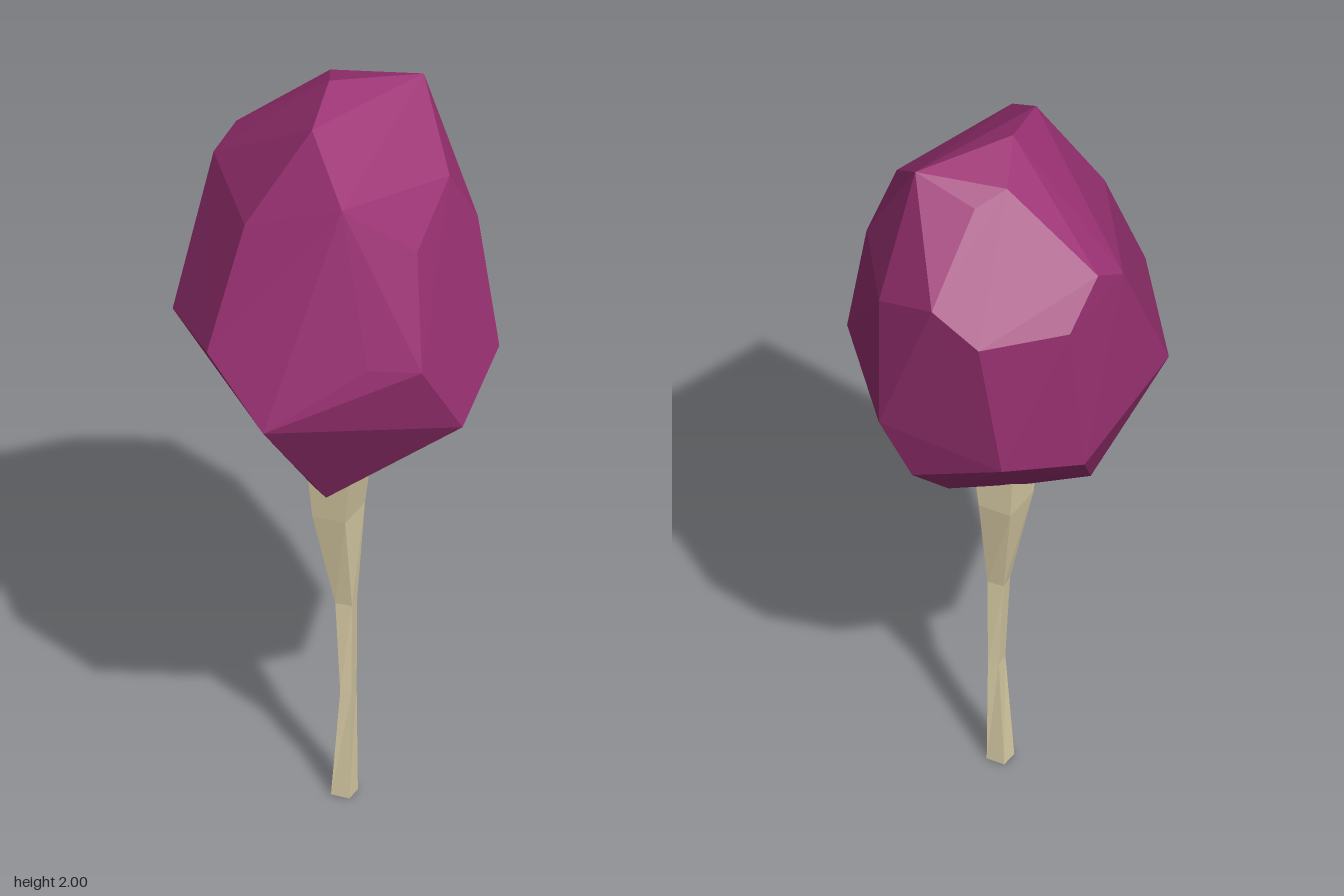
import * as THREE from 'three';
import { ConvexGeometry } from 'three/addons/geometries/ConvexGeometry.js';

// Corners of the faceted crown, from top to bottom
const CROWN = [
  [-0.035, 2.0, -0.04], [0, 1.96, 0.135], [0.13, 1.955, -0.24], [-0.095, 1.945, -0.175], [-0.04, 1.905, -0.24],
  [0.14, 1.83, 0.26], [0.28, 1.79, -0.07], [-0.34, 1.75, -0.15], [-0.36, 1.705, -0.06], [-0.135, 1.71, 0.24],
  [-0.02, 1.695, -0.42], [0.28, 1.67, 0.12], [0.32, 1.64, -0.15], [0.165, 1.62, -0.36],
  [-0.145, 1.61, -0.405], [-0.32, 1.63, -0.255],
  [-0.18, 1.4, 0.365], [0.22, 1.4, 0.28], [0.335, 1.385, 0.21], [-0.39, 1.34, 0.115], [0.39, 1.3, -0.125],
  [0, 1.24, 0.42], [0.165, 1.24, -0.36], [-0.18, 1.21, -0.35], [-0.33, 1.19, -0.2], [0.39, 1.18, 0.09],
  [0.09, 1.08, -0.325], [-0.25, 1.01, -0.03], [0.075, 0.94, -0.17], [0.05, 0.93, 0.16], [-0.04, 0.865, 0.03],
];

// Stem sections: height, centre x, centre z, half width x, half width z, twist
const STEM = [
  [0, 0.03, 0.01, 0.025, 0.025, 0],
  [0.3, 0.041, 0.01, 0.014, 0.02, 0.15],
  [0.55, 0.035, 0.01, 0.022, 0.02, 0.1],
  [0.81, 0.015, 0.012, 0.045, 0.058, 0],
  [0.95, 0.02, 0.018, 0.058, 0.066, 0],
];

function stemGeometry() {
  const n = STEM.length - 1;
  const geo = new THREE.CylinderGeometry(1, 1, n, 4, n);
  const pos = geo.attributes.position;
  for (let i = 0; i < pos.count; i++) {
    const [y, cx, cz, hx, hz, twist] = STEM[Math.round(pos.getY(i) + n / 2)];
    const r = Math.hypot(pos.getX(i), pos.getZ(i)) * Math.SQRT2;
    const a = Math.atan2(pos.getX(i), pos.getZ(i)) + Math.PI / 4 + twist;
    pos.setXYZ(i, cx + hx * r * Math.sin(a), y, cz + hz * r * Math.cos(a));
  }
  const flat = geo.toNonIndexed();
  flat.computeVertexNormals();
  return flat;
}

function addPart(group, name, geometry, color) {
  const material = new THREE.MeshStandardMaterial({ color, flatShading: true });
  const mesh = new THREE.Mesh(geometry, material);
  mesh.name = name;
  group.add(mesh);
}

export function createModel() {
  const tree = new THREE.Group();
  tree.name = 'tree';
  addPart(tree, 'crown', new ConvexGeometry(CROWN.map((p) => new THREE.Vector3(...p))), 0x9c3274);
  addPart(tree, 'stem', stemGeometry(), 0xdccfa8);
  return tree;
}
